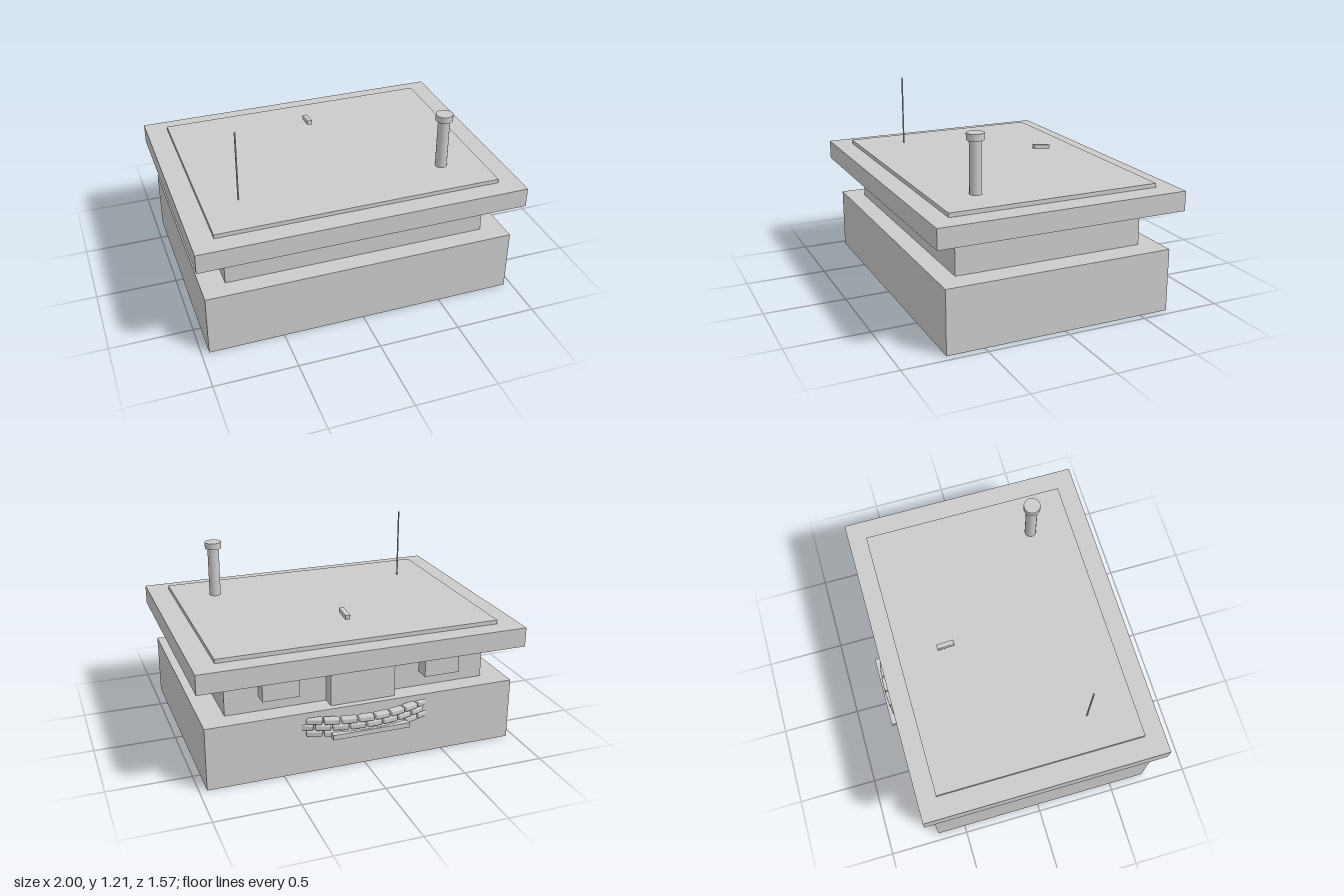
import * as THREE from 'three';
import { RoundedBoxGeometry } from 'three/addons/geometries/RoundedBoxGeometry.js';

const material = new THREE.MeshStandardMaterial({ color: 0xcccccc });

export function createModel() {
  const bunker = new THREE.Group();
  bunker.name = 'bunker';

  const add = (name, geometry, x = 0, y = 0, z = 0, parent = bunker) => {
    const mesh = new THREE.Mesh(geometry, material);
    mesh.name = name;
    mesh.position.set(x, y, z);
    parent.add(mesh);
    return mesh;
  };

  // Box given by its lower and upper limits on each axis
  const block = (name, [x0, x1], [y0, y1], [z0, z1]) =>
    add(name, new THREE.BoxGeometry(x1 - x0, y1 - y0, z1 - z0),
      (x0 + x1) / 2, (y0 + y1) / 2, (z0 + z1) / 2);

  // Upright cylinder standing on y0
  const post = (name, radius, y0, y1, x, z, sides) =>
    add(name, new THREE.CylinderGeometry(radius, radius, y1 - y0, sides), x, (y0 + y1) / 2, z);

  // Stacked main slabs
  block('base', [-0.955, 0.955], [0, 0.385], [-0.68, 0.725]);
  block('walls', [-0.81, 0.81], [0.385, 0.625], [-0.56, 0.61]);
  block('roof', [-1, 1], [0.625, 0.745], [-0.74, 0.785]);
  block('roofCover', [-0.867, 0.867], [0.745, 0.77], [-0.625, 0.665]);

  // Chimney and aerial on the roof
  post('chimney', 0.036, 0.77, 1.09, 0.615, 0.4, 16);
  post('chimneyCap', 0.052, 1.08, 1.12, 0.615, 0.4, 16);
  post('aerial', 0.005, 0.77, 1.21, -0.65, 0.37, 8);

  // Small tilted block hovering above the roof
  const sight = add('sight', new THREE.BoxGeometry(0.03, 0.028, 0.108), 0, 0.818, -0.33);
  sight.rotation.x = -0.11;

  // Rear doorway with a shallow panel, and a window box on each side
  block('doorFrame', [-0.2, 0.2], [0.385, 0.622], [-0.64, -0.56]);
  block('doorPanel', [-0.12, 0.12], [0.45, 0.622], [-0.643, -0.63]);
  for (const side of [-1, 1]) {
    const box = block('windowBox', [-0.11, 0.11], [0.48, 0.6], [-0.65, -0.56]);
    box.position.x = side * 0.5;
  }

  // Three staggered rows of sandbags on a shallow arc behind the base
  const sandbags = new THREE.Group();
  sandbags.name = 'sandbags';
  bunker.add(sandbags);
  const arcRadius = 0.85, count = 8, step = 0.1 / arcRadius;
  const bagGeometry = new RoundedBoxGeometry(0.092, 0.034, 0.05, 2, 0.008);
  for (let row = 0; row < 3; row++) {
    const shift = row % 2 ? 0.25 : -0.25;
    for (let i = 0; i < count; i++) {
      const angle = (i - (count - 1) / 2 + shift) * step;
      const bag = add('sandbag', bagGeometry, Math.sin(angle) * arcRadius,
        0.257 + row * 0.038, -0.748 + arcRadius * (1 - Math.cos(angle)), sandbags);
      bag.rotation.y = -angle;
    }
  }

  // Straight step in front of the sandbags
  block('step', [-0.235, 0.235], [0.24, 0.27], [-0.785, -0.745]);

  return bunker;
}
